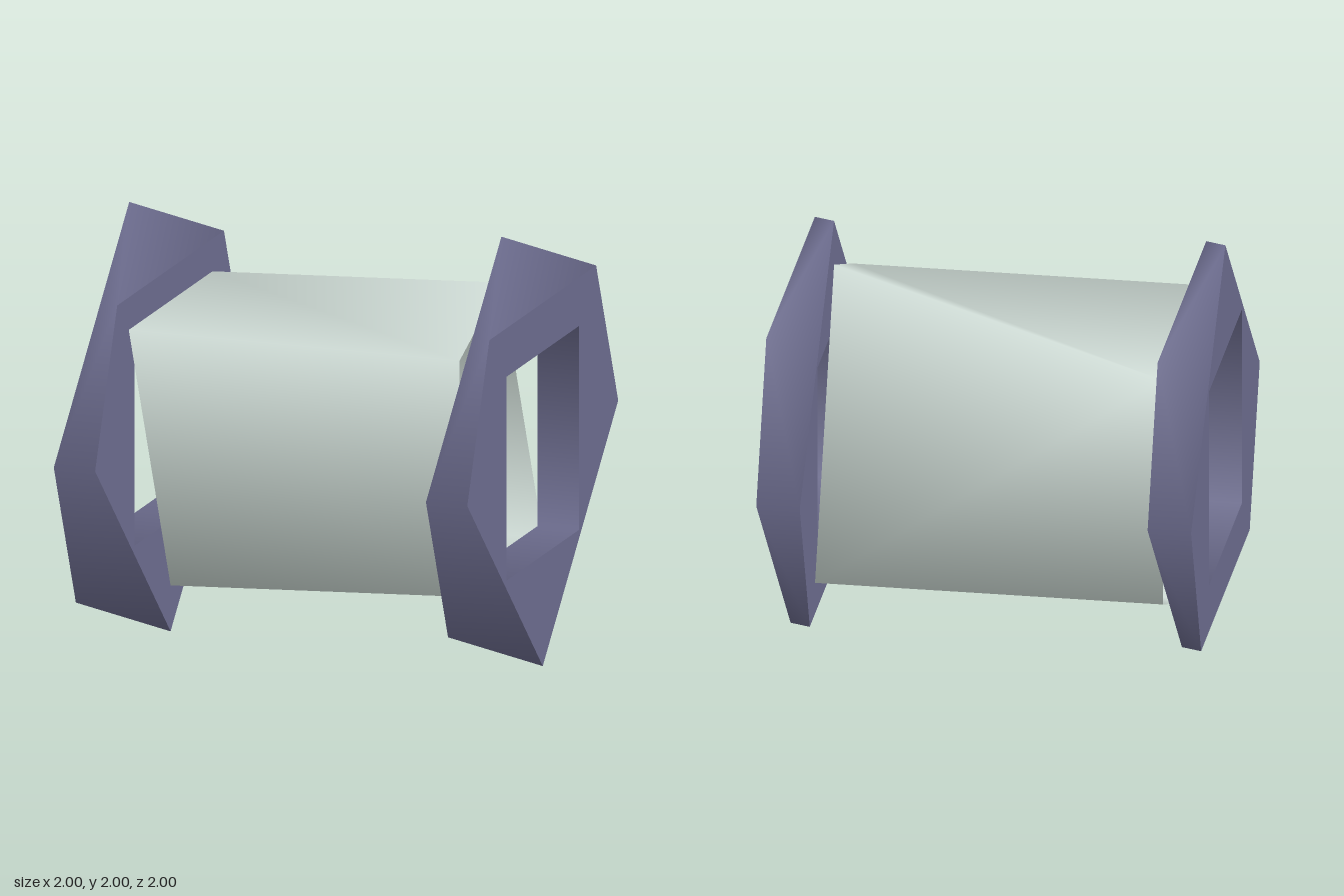
import * as THREE from 'three';

const plateMat = new THREE.MeshStandardMaterial({ color: 0x6c6c8e });
plateMat.name = 'slate violet';
const barrelMat = new THREE.MeshStandardMaterial({ color: 0xd2dfd9, side: THREE.DoubleSide });
barrelMat.name = 'pale mint';

// Band between two rings around the x axis. Corners are written 'L45' or 'H270':
// low or high x end, then the angle from +z towards +y. Normals are radial.
function band(triangles, radius, xLow, xHigh, inward = false) {
  const pos = [], nor = [];
  const s = inward ? -1 : 1;
  for (const tri of triangles) {
    const n = tri.map((c) => {
      const a = THREE.MathUtils.degToRad(Number(c.slice(1)));
      return new THREE.Vector3(0, Math.sin(a), Math.cos(a));
    });
    const p = n.map((v, i) => {
      const q = v.clone().multiplyScalar(radius);
      q.x = tri[i][0] === 'L' ? xLow : xHigh;
      return q;
    });
    const facing = p[1].clone().sub(p[0]).cross(p[2].clone().sub(p[0]));
    const out = n[0].clone().add(n[1]).add(n[2]).multiplyScalar(s);
    const order = facing.dot(out) < 0 ? [0, 2, 1] : [0, 1, 2];
    for (const i of order) {
      pos.push(p[i].x, p[i].y + 1, p[i].z);
      nor.push(0, s * n[i].y, s * n[i].z);
    }
  }
  const g = new THREE.BufferGeometry();
  g.setAttribute('position', new THREE.Float32BufferAttribute(pos, 3));
  g.setAttribute('normal', new THREE.Float32BufferAttribute(nor, 3));
  return g;
}

const split = (text) => text.split(', ').map((t) => t.split(' '));

// Facets of the plate rim, with the -z half mirrored from the +z half
const half = split('H45 L90 L0, H45 L0 H0, H0 L0 L315, H0 L315 H270');
const mirror = (c) => c[0] + ((540 - Number(c.slice(1))) % 360);
const rimFacets = [
  ...half,
  ...half.map((t) => t.map(mirror)),
  ...split('H45 H135 L90, H270 L315 L225'),
];

// Square window through each plate
const windowFacets = [45, 135, 225, 315].flatMap((a) => {
  const b = (a + 90) % 360;
  return [['L' + a, 'H' + a, 'H' + b], ['L' + a, 'H' + b, 'L' + b]];
});

const barrelFacets = split(
  'L45 L135 H45, L135 H45 H90, L45 H45 H315, L45 H315 L270, ' +
  'L135 H90 H225, L135 L225 H225, L225 H225 H315, L225 H315 L270');

const HOLE = 0.479;

// Flat pentagon face with the square window
function face(angles, x, dir) {
  const shape = new THREE.Shape(angles.map((d) => {
    const a = THREE.MathUtils.degToRad(d);
    return new THREE.Vector2(Math.cos(a), 1 + Math.sin(a));
  }));
  shape.holes.push(new THREE.Path([[-1, -1], [-1, 1], [1, 1], [1, -1]].map(
    ([u, v]) => new THREE.Vector2(u * HOLE, 1 + v * HOLE))));
  return new THREE.ShapeGeometry(shape).rotateY(dir * Math.PI / 2).translate(x, 0, 0);
}

function endPlate(name, xLow, xHigh) {
  const plate = new THREE.Group();
  plate.name = name;
  const add = (part, geometry) => {
    const mesh = new THREE.Mesh(geometry, plateMat);
    mesh.name = part;
    plate.add(mesh);
  };
  add('rim', band(rimFacets, 1, xLow, xHigh));
  add('windowWalls', band(windowFacets, HOLE * Math.SQRT2, xLow, xHigh, true));
  add('highFace', face([0, 45, 135, 180, 270], xHigh, 1));
  add('lowFace', face([0, 90, 180, 225, 315], xLow, -1));
  return plate;
}

export function createModel() {
  const model = new THREE.Group();
  model.name = 'spool';
  // Open twisted barrel between the two plates
  const barrel = new THREE.Mesh(band(barrelFacets, 0.784, -0.8, 0.8), barrelMat);
  barrel.name = 'barrel';
  model.add(barrel, endPlate('rightEndPlate', -1, -0.8), endPlate('leftEndPlate', 0.8, 1));
  return model;
}
